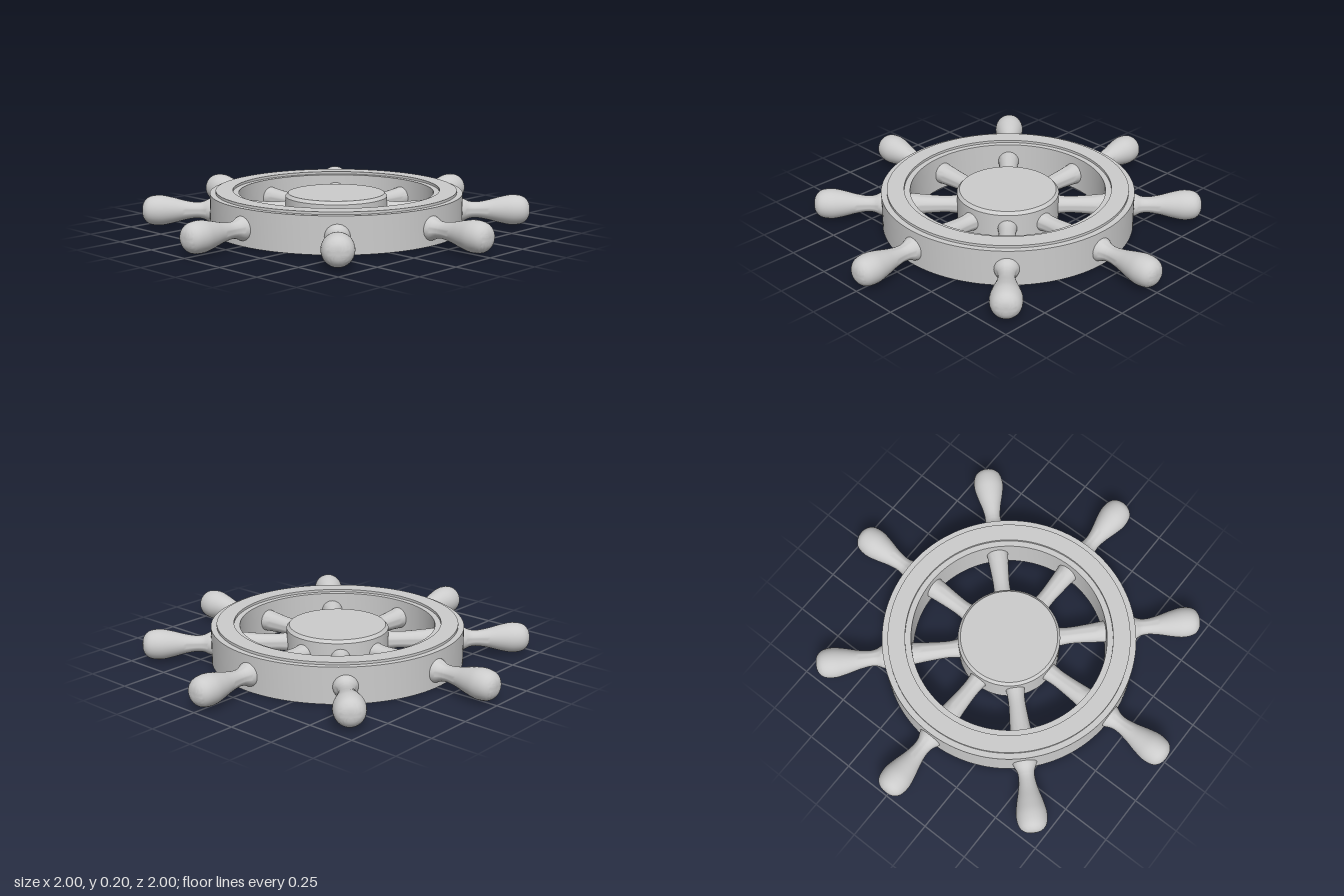
import * as THREE from 'three';
import { toCreasedNormals } from 'three/addons/utils/BufferGeometryUtils.js';

const material = new THREE.MeshStandardMaterial({ color: 0xcccccc });
const AXIS_Y = 0.088; // height of the spokes

// Revolve [radius, height] points around y, keeping sharp corners crisp
function turned(name, points, segments, crease = 0.6) {
  const profile = points.map(([r, y]) => new THREE.Vector2(r, y));
  const geometry = toCreasedNormals(new THREE.LatheGeometry(profile, segments), crease);
  const mesh = new THREE.Mesh(geometry, material);
  mesh.name = name;
  return mesh;
}

// Smooth curve through [radius, distance along spoke] points
function smooth(points, count) {
  const curve = new THREE.CatmullRomCurve3(points.map(([r, d]) => new THREE.Vector3(r, d, 0)));
  return curve.getPoints(count).map((p) => [Math.max(p.x, 0), p.y]);
}

export function createModel() {
  const wheel = new THREE.Group();
  wheel.name = 'shipWheel';

  // Rim with a raised band on top
  wheel.add(turned('rim', [
    [0.5, 0], [0.648, 0], [0.648, 0.187], [0.618, 0.187], [0.618, 0.2],
    [0.53, 0.2], [0.53, 0.187], [0.5, 0.187], [0.5, 0],
  ], 128));

  // Hub: a cap with a bevelled edge, hollow from below
  wheel.add(turned('hub', [
    [0, 0.166], [0.252, 0.166], [0.252, 0], [0.262, 0],
    [0.262, 0.164], [0.248, 0.18], [0, 0.18],
  ], 96));

  // Turned spoke: shaft from hub through the rim, then neck and bulbous grip
  const shaft = smooth([
    [0.05, 0.243], [0.043, 0.31], [0.048, 0.41], [0.058, 0.52], [0.064, 0.61],
    [0.06, 0.65], [0.045, 0.685], [0.041, 0.72], [0.05, 0.78],
    [0.068, 0.85], [0.078, 0.91], [0.068, 0.966], [0.04, 0.992], [0, 1],
  ], 56);
  const spoke = turned('spoke', [[0, 0.243], ...shaft], 32);
  spoke.rotation.z = -Math.PI / 2;
  spoke.position.y = AXIS_Y;

  for (let i = 0; i < 8; i++) {
    const arm = new THREE.Group();
    arm.name = `spokeWithHandle${i + 1}`;
    arm.rotation.y = (i * Math.PI) / 4;
    arm.add(spoke.clone());
    wheel.add(arm);
  }
  return wheel;
}
